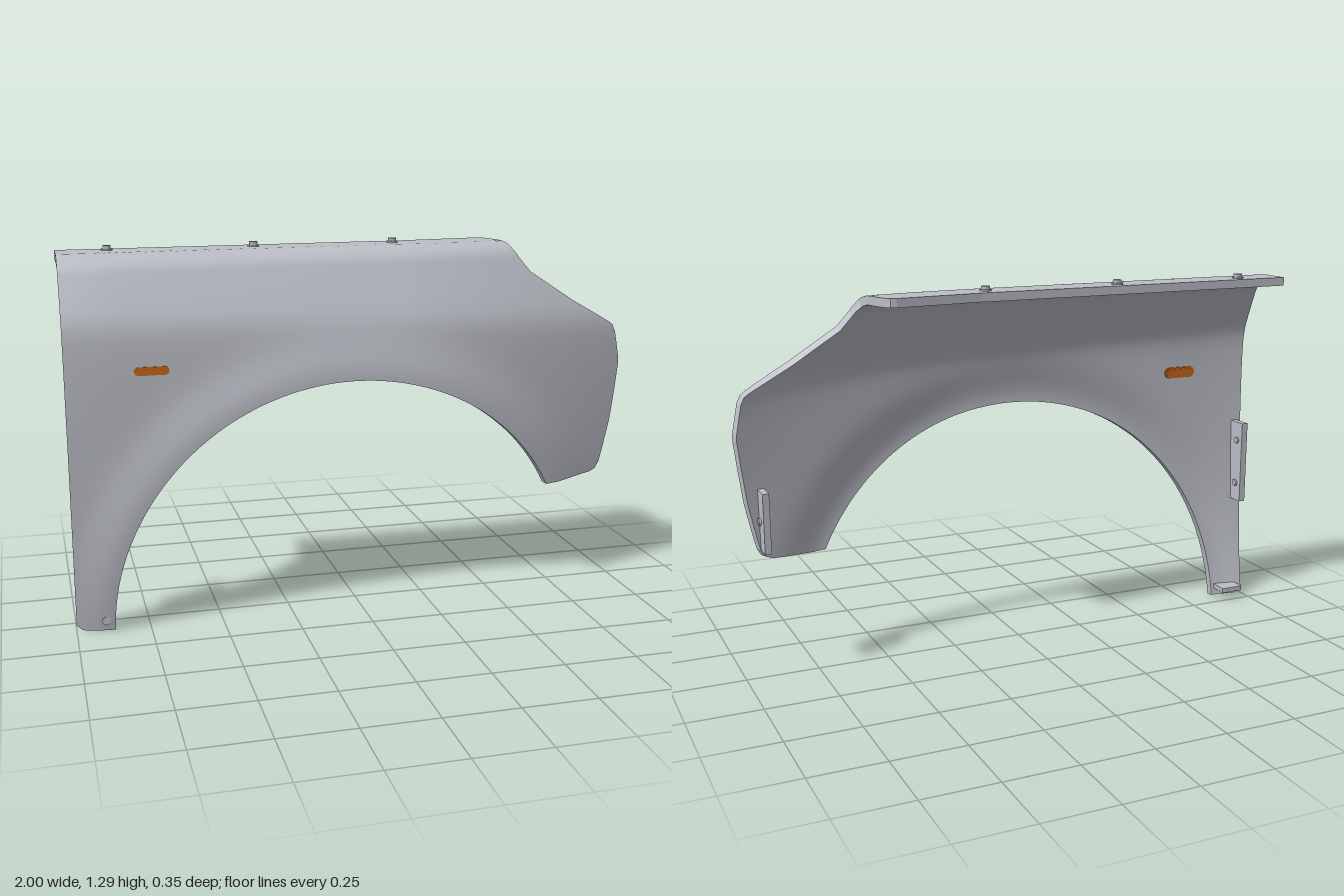
import * as THREE from 'three';

const THICK = 0.03;
const ARCH = { x: -0.035, y: 0.005, r: 0.835 };
// Fold at the top: start height, radius, start angle and arc end
const FOLD_Y = 1.222, FOLD_R = 0.09, FOLD_A = Math.atan(0.45);
const FOLD_END = FOLD_Y + FOLD_R * (Math.PI / 2 - FOLD_A);

// Piecewise linear lookup in [x, value] pairs
function lookup(table, x) {
  for (let i = 1; i < table.length; i++) {
    const [x0, v0] = table[i - 1], [x1, v1] = table[i];
    if (x <= x1) return v0 + (v1 - v0) * Math.max(0, (x - x0) / (x1 - x0));
  }
  return table[table.length - 1][1];
}

// Depth of the outer skin: shoulder line, taper to the front and arch flare
function depth(x, y) {
  const t = Math.max(0, x - 0.15) / 0.85;
  const shoulder = 1.055 - 0.025 * (x + 1) - 0.015 * t * t;
  const taper = 0.125 * Math.pow(t, 1.8);
  const rear = 0.006 * Math.pow(Math.max(0, (-0.8 - x) / 0.2), 2);
  const d = y - shoulder;
  const lean = 0.45 * (d + Math.hypot(d, 0.05)) / 2;
  const tuck = 0.08 * Math.pow(Math.max(0, -d / shoulder), 2.4);
  const gap = Math.max(0, Math.hypot(x - ARCH.x, y - ARCH.y) - ARCH.r);
  const flare = 0.026 * Math.exp(-Math.pow(gap / 0.125, 2.3));
  return 0.1465 - taper - rear - lean - tuck + flare;
}

// Skin point at x and at length s along the section, bending into the flange
function skin(x, s) {
  if (s <= FOLD_Y) return new THREE.Vector3(x, s, depth(x, s));
  const a = Math.min(Math.PI / 2, FOLD_A + (s - FOLD_Y) / FOLD_R);
  return new THREE.Vector3(
    x,
    FOLD_Y + FOLD_R * (Math.sin(a) - Math.sin(FOLD_A)),
    depth(x, FOLD_Y) - FOLD_R * (Math.cos(FOLD_A) - Math.cos(a)) - Math.max(0, s - FOLD_END));
}

function skinNormal(x, s) {
  const e = 1e-3;
  const dx = skin(x + e, s).sub(skin(x - e, s));
  const ds = skin(x, s + e).sub(skin(x, s - e));
  return dx.cross(ds).normalize();
}

// Lower outline: rear leg, wheel arch, front corner
function lowEdge(x) {
  if (x < -0.8699) return lookup([[-1, 0.02], [-0.98, 0.003], [-0.965, 0], [-0.87, 0]], x);
  if (x <= 0.7) return ARCH.y + Math.sqrt(Math.max(0, ARCH.r ** 2 - (x - ARCH.x) ** 2));
  return lookup([[0.7, 0.4], [0.75, 0.401], [0.9, 0.415], [0.925, 0.425], [0.94, 0.45],
    [0.952, 0.5], [0.975, 0.61], [0.99, 0.73], [1, 0.82]], x);
}

// Upper outline: flange end, notch, sloping front edge
function highEdge(x) {
  if (x <= 0.55) {
    const z = lookup([[-1, -0.135], [0.2, -0.147], [0.5, -0.178], [0.52, -0.174],
      [0.535, -0.15], [0.55, -0.1]], x);
    return FOLD_END + skin(x, FOLD_END).z - z;
  }
  return lookup([[0.55, highEdge(0.55)], [0.56, FOLD_END], [0.575, 1.27], [0.6, 1.22], [0.64, 1.17],
    [0.8, 1.065], [0.95, 0.98], [0.968, 0.967], [0.98, 0.94], [1, 0.84]], x);
}

function buildPanel(material) {
  const xs = [-1, -0.98, -0.965, -0.94, -0.9, -0.8701];
  for (let i = 0; i <= 70; i++) {
    const a = Math.PI - i / 70 * (Math.PI - Math.acos((0.7 - ARCH.x) / ARCH.r));
    xs.push(ARCH.x + ARCH.r * Math.cos(a));
  }
  xs.push(0.5, 0.52, 0.535, 0.55, 0.56, 0.575, 0.6, 0.64, 0.72, 0.75, 0.78, 0.8, 0.84, 0.87,
    0.9, 0.925, 0.94, 0.952, 0.968, 0.975, 0.98, 0.99, 1);
  xs.sort((a, b) => a - b);
  const rows = 56, outer = [], inner = [], normals = [];
  for (const x of xs) {
    const lo = lowEdge(x), hi = highEdge(x);
    for (let j = 0; j <= rows; j++) {
      const s = lo + (hi - lo) * j / rows;
      const p = skin(x, s), n = skinNormal(x, s);
      outer.push(p);
      normals.push(n);
      inner.push(p.clone().addScaledVector(n, -THICK));
    }
  }
  const id = (i, j) => i * (rows + 1) + j;
  const last = xs.length - 1, index = [];
  for (let i = 0; i < last; i++) {
    for (let j = 0; j < rows; j++) {
      const a = id(i, j), b = id(i + 1, j), c = id(i + 1, j + 1), d = id(i, j + 1);
      index.push(a, b, c, a, c, d);
    }
  }
  const sheet = (points, sign) => {
    const g = new THREE.BufferGeometry().setFromPoints(points);
    const flat = normals.flatMap(n => [n.x * sign, n.y * sign, n.z * sign]);
    g.setAttribute('normal', new THREE.Float32BufferAttribute(flat, 3));
    g.setIndex(sign > 0 ? index : index.slice().reverse());
    return g;
  };
  // Rim wall around the outline
  const loop = [];
  for (let i = 0; i < last; i++) loop.push(id(i, 0));
  for (let j = 0; j < rows; j++) loop.push(id(last, j));
  for (let i = last; i > 0; i--) loop.push(id(i, rows));
  for (let j = rows; j > 0; j--) loop.push(id(0, j));
  const wall = [];
  loop.forEach((a, k) => {
    const b = loop[(k + 1) % loop.length];
    wall.push(outer[a], inner[a], outer[b], outer[b], inner[a], inner[b]);
  });
  const rim = new THREE.BufferGeometry().setFromPoints(wall);
  rim.computeVertexNormals();

  const panel = new THREE.Group();
  panel.name = 'fenderPanel';
  addMesh(panel, 'outerSkin', sheet(outer, 1), material);
  addMesh(panel, 'innerSkin', sheet(inner, -1), material);
  addMesh(panel, 'panelRim', rim, material);
  return panel;
}

function addMesh(parent, name, geometry, material, x = 0, y = 0, z = 0) {
  const mesh = new THREE.Mesh(geometry, material);
  mesh.name = name;
  mesh.position.set(x, y, z);
  parent.add(mesh);
  return mesh;
}

// Rounded bar for the marker lens
function capsule(half, radius, thickness) {
  const shape = new THREE.Shape();
  shape.absarc(half, 0, radius, -Math.PI / 2, Math.PI / 2);
  shape.absarc(-half, 0, radius, Math.PI / 2, Math.PI * 1.5);
  return new THREE.ExtrudeGeometry(shape, { depth: thickness, bevelEnabled: false, curveSegments: 10 });
}

// Upright plate facing sideways, with bolt heads on its left face at each [y, z]
function sideBracket(name, material, [x, y, z], [w, h, d], bolts) {
  const bracket = new THREE.Group();
  bracket.name = name;
  addMesh(bracket, 'bracketPlate', new THREE.BoxGeometry(w, h, d), material, x, y, z);
  for (const [by, bz] of bolts) {
    addMesh(bracket, 'bracketBolt',
      new THREE.CylinderGeometry(0.013, 0.013, 0.016, 6).rotateZ(Math.PI / 2), material, x + w / 2, by, bz);
  }
  return bracket;
}

export function createModel() {
  const grey = new THREE.MeshStandardMaterial({ name: 'panelGrey', color: 0xbcbfc7 });
  const orange = new THREE.MeshStandardMaterial({ name: 'markerOrange', color: 0xc8661a });
  const model = new THREE.Group();
  model.name = 'fender';
  model.add(buildPanel(grey));

  // Side marker: lens on the outside, wider base on the inside
  const marker = new THREE.Group();
  marker.name = 'sideMarker';
  marker.position.set(-0.72, 0.905, depth(-0.72, 0.905));
  addMesh(marker, 'markerLens', capsule(0.043, 0.014, 0.04), orange, 0, 0, -0.037);
  addMesh(marker, 'markerBase', capsule(0.043, 0.02, 0.008), orange, 0, 0, -0.035);
  model.add(marker);

  // Flange bolts: washer, hex head and shank
  for (const x of [-0.83, -0.335, 0.16]) {
    const bolt = new THREE.Group();
    bolt.name = 'flangeBolt';
    bolt.position.set(x, skin(x, FOLD_END).y, -0.09);
    addMesh(bolt, 'washer', new THREE.CylinderGeometry(0.02, 0.02, 0.006, 20), grey, 0, 0.002, 0);
    addMesh(bolt, 'boltHead', new THREE.CylinderGeometry(0.015, 0.015, 0.014, 6), grey, 0, 0.009, 0);
    addMesh(bolt, 'boltShank', new THREE.CylinderGeometry(0.006, 0.006, 0.033, 10), grey, 0, -0.0155, 0);
    model.add(bolt);
  }

  // Mounting brackets
  model.add(sideBracket('frontBracket', grey, [0.92, 0.553, -0.027], [0.022, 0.205, 0.078], [[0.553, -0.025]]));
  model.add(sideBracket('rearBracket', grey, [-0.97, 0.545, 0.067], [0.024, 0.31, 0.078],
    [[0.46, 0.058], [0.63, 0.058]]));
  addMesh(model, 'lowerTab', new THREE.BoxGeometry(0.085, 0.018, 0.075), grey, -0.925, 0.039, 0.04);

  // Fixing pin at the foot of the rear leg
  addMesh(model, 'lowerPin', new THREE.CylinderGeometry(0.015, 0.015, 0.03, 16).rotateX(Math.PI / 2),
    grey, -0.9, 0.037, depth(-0.9, 0.037) - 0.011);
  return model;
}
